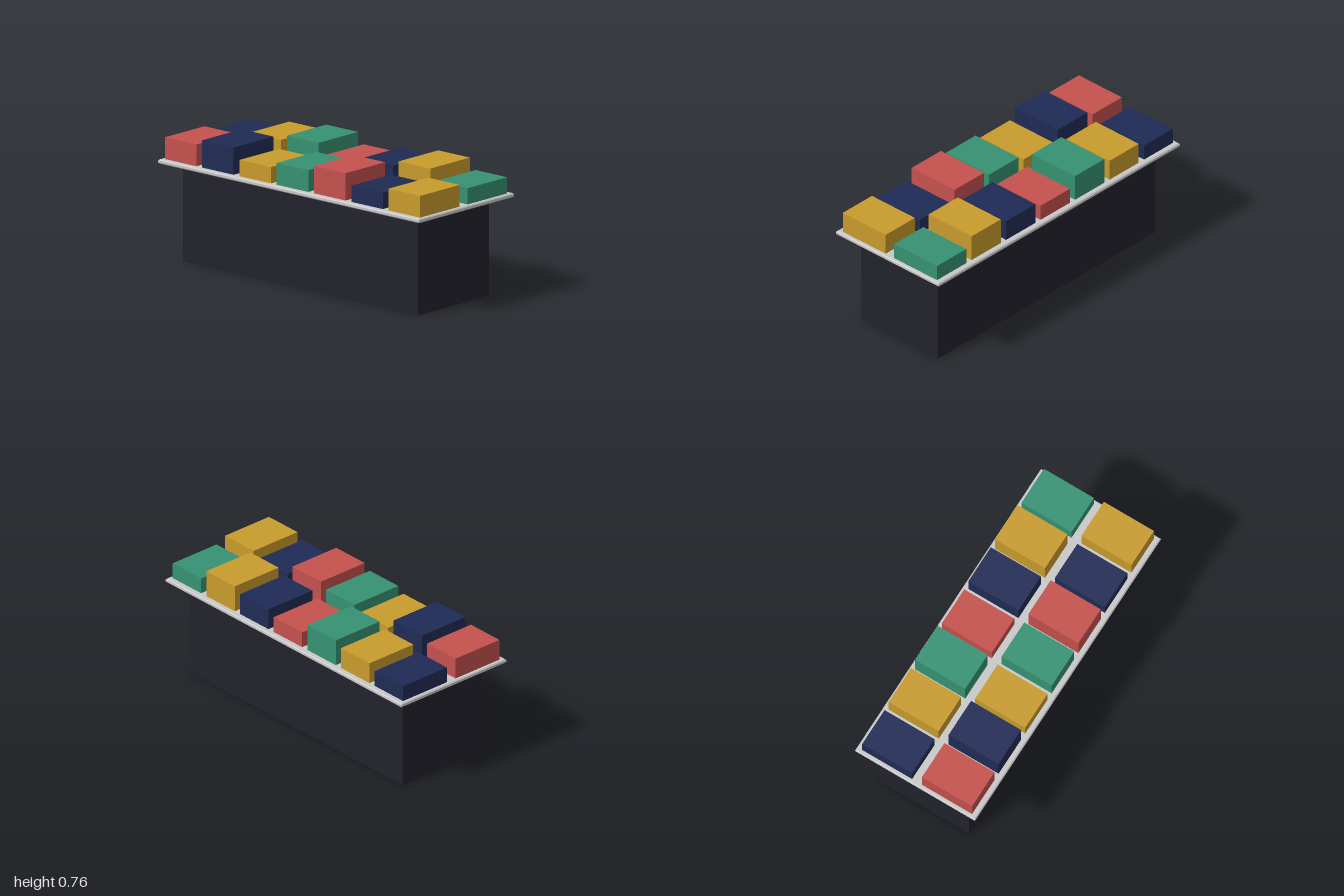
import * as THREE from 'three';

const mat = (name, color) => {
  const m = new THREE.MeshStandardMaterial({ color });
  m.name = name;
  return m;
};

export function createModel() {
  const group = new THREE.Group();
  const charcoal = mat('charcoal', 0x22222c);
  const paleGrey = mat('paleGrey', 0xc8c8c8);
  const red = mat('red', 0xc4514d);
  const navy = mat('navy', 0x1f2b55);
  const gold = mat('gold', 0xc89b2d);
  const green = mat('green', 0x369272);

  // Box standing on a given height
  const addBox = (name, w, h, d, x, y, z, material) => {
    const mesh = new THREE.Mesh(new THREE.BoxGeometry(w, h, d), material);
    mesh.name = name;
    mesh.position.set(x, y + h / 2, z);
    group.add(mesh);
  };

  // Plinth
  addBox('base', 1.8, 0.575, 0.6, 0, 0, 0, charcoal);

  // Table top with chamfered edges
  const bevel = 0.006, bottom = 0.575, thick = 0.025;
  const hx = 1 - bevel, hz = 0.4 - bevel;
  const outline = new THREE.Shape([
    new THREE.Vector2(-hx, -hz), new THREE.Vector2(hx, -hz),
    new THREE.Vector2(hx, hz), new THREE.Vector2(-hx, hz),
  ]);
  const topGeo = new THREE.ExtrudeGeometry(outline, {
    depth: thick - 2 * bevel, bevelEnabled: true,
    bevelSize: bevel, bevelThickness: bevel, bevelSegments: 1,
  });
  topGeo.rotateX(-Math.PI / 2);
  topGeo.translate(0, bottom + bevel, 0);
  const top = new THREE.Mesh(topGeo, paleGrey);
  top.name = 'tableTop';
  group.add(top);

  // Two rows of seven stacks, cycling through colours and heights
  const colours = [red, navy, gold, green];
  const heights = [0.095, 0.1275, 0.16];
  for (let row = 0; row < 2; row++) {
    for (let col = 0; col < 7; col++) {
      const front = row === 1;
      const colour = colours[(col + (front ? 0 : 1)) % 4];
      const height = heights[(col + row) % 3];
      addBox(`${front ? 'front' : 'back'}Stack${col + 1}`, 0.242, height, 0.334,
        (col - 3) * 2 / 7, bottom + thick, front ? 0.2 : -0.2, colour);
    }
  }
  return group;
}
